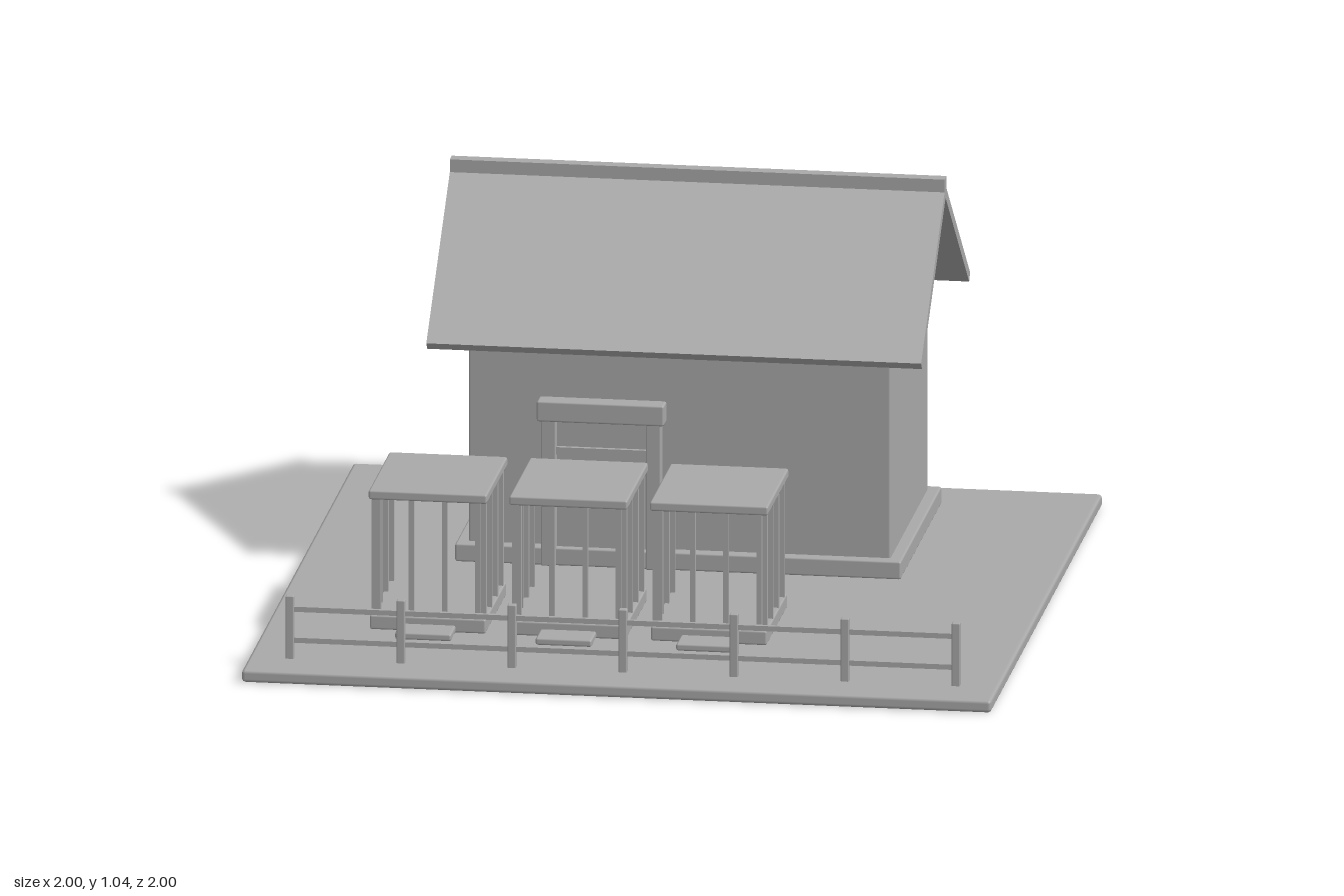
import * as THREE from 'three';
import { RoundedBoxGeometry } from 'three/addons/geometries/RoundedBoxGeometry.js';

export function createModel() {
  const model = new THREE.Group();
  model.name = 'houseWithCages';
  const grey = new THREE.MeshStandardMaterial({ color: 0xaaaaaa });
  grey.name = 'plainGrey';

  const add = (parent, name, geometry, x = 0, y = 0, z = 0) => {
    const mesh = new THREE.Mesh(geometry, grey);
    mesh.name = name;
    mesh.position.set(x, y, z);
    parent.add(mesh);
    return mesh;
  };
  // Box given by its limits; a bevel softens the edges
  const box = (parent, name, [x0, x1], [y0, y1], [z0, z1], bevel = 0) => {
    const size = [x1 - x0, y1 - y0, z1 - z0];
    const geometry = bevel
      ? new RoundedBoxGeometry(...size, 1, bevel)
      : new THREE.BoxGeometry(...size);
    return add(parent, name, geometry, (x0 + x1) / 2, (y0 + y1) / 2, (z0 + z1) / 2);
  };
  const group = (name) => {
    const g = new THREE.Group();
    g.name = name;
    model.add(g);
    return g;
  };
  // Profile of [z offset, y] points, extruded along x
  const alongX = (points, length) => {
    const shape = new THREE.Shape(points.map(([z, y]) => new THREE.Vector2(-z, y)));
    return new THREE.ExtrudeGeometry(shape, { depth: length, bevelEnabled: false })
      .translate(0, 0, -length / 2)
      .rotateY(Math.PI / 2);
  };

  const ground = 0.035;
  box(model, 'groundSlab', [-1, 1], [0, ground], [-1, 1], 0.01);

  // House
  const house = group('house');
  const ridgeZ = -0.47;
  box(house, 'plinth', [-0.595, 0.595], [ground, 0.085], [-0.835, -0.105], 0.006);
  box(house, 'walls', [-0.563, 0.563], [0.07, 0.645], [-0.805, -0.135], 0.006);
  add(house, 'gable', alongX([[-0.338, 0.642], [0.338, 0.642], [0, 0.925]], 1.126), 0, 0, ridgeZ);
  for (const s of [1, -1]) {
    const slope = [[0, 1.018], [0.44, 0.653], [0.422, 0.633], [0, 0.983]];
    add(house, s > 0 ? 'frontRoofSlope' : 'backRoofSlope',
      alongX(slope.map(([z, y]) => [z * s, y]), 1.32), 0, 0, ridgeZ);
  }
  box(house, 'ridgeCap', [-0.66, 0.66], [1.0, 1.038], [ridgeZ - 0.018, ridgeZ + 0.018]);

  // Doorway
  const door = group('doorway');
  box(door, 'lintel', [-0.375, -0.035], [0.433, 0.49], [-0.15, -0.088], 0.006);
  for (const x of [-0.345, -0.065])
    box(door, 'doorPost', [x - 0.02, x + 0.02], [ground, 0.44], [-0.15, -0.098], 0.004);
  box(door, 'doorPanel', [-0.33, -0.08], [ground, 0.44], [-0.15, -0.12]);
  box(door, 'doorRail', [-0.325, -0.085], [0.34, 0.36], [-0.13, -0.108]);

  // Three cages, barred on the front and both sides
  for (const cx of [-0.565, -0.19, 0.185]) {
    const cage = group('cage');
    cage.position.x = cx;
    box(cage, 'cageFloor', [-0.155, 0.155], [0.04, 0.08], [0.215, 0.585], 0.006);
    box(cage, 'cageRoof', [-0.158, 0.158], [0.396, 0.422], [0.212, 0.585], 0.006);
    box(cage, 'step', [-0.075, 0.075], [0.04, 0.06], [0.57, 0.67], 0.006);
    const bar = (name, x, z) => box(cage, name,
      [x - 0.007, x + 0.007], [0.075, 0.4], [z - 0.007, z + 0.007]);
    for (let i = 0; i < 4; i++) {
      bar('frontBar', -0.133 + i * 0.0887, 0.573);
      for (const s of [1, -1]) bar('sideBar', s * 0.146, 0.25 + i * 0.1027);
    }
  }

  // Fence
  const fence = group('fence');
  for (let i = 0; i < 7; i++) {
    const x = -0.89 + i * 0.2962;
    box(fence, 'fencePost', [x - 0.011, x + 0.011], [0.03, 0.207], [0.854, 0.876], 0.003);
  }
  for (const y of [0.085, 0.17])
    box(fence, 'fenceRail', [-0.89, 0.887], [y - 0.007, y + 0.007], [0.859, 0.871]);

  return model;
}
